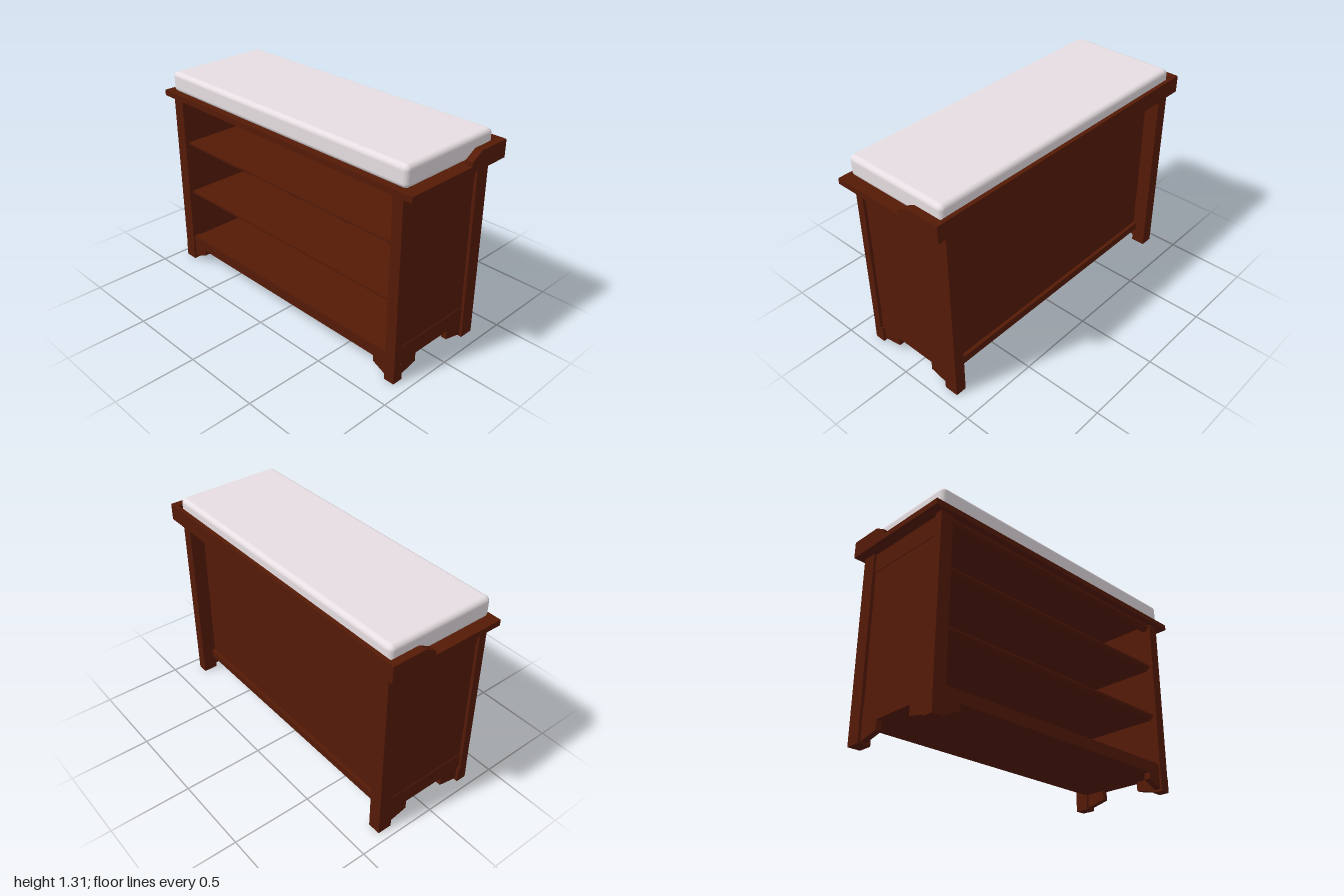
import * as THREE from 'three';
import { RoundedBoxGeometry } from 'three/addons/geometries/RoundedBoxGeometry.js';

export function createModel() {
  const model = new THREE.Group();
  model.name = 'changingTableDresser';
  const wood = new THREE.MeshStandardMaterial({ color: 0x551a06 });
  wood.name = 'dark red wood';
  const fabric = new THREE.MeshStandardMaterial({ color: 0xe6dee2 });
  fabric.name = 'pale grey fabric';

  const add = (name, geometry, material = wood) => {
    const mesh = new THREE.Mesh(geometry, material);
    mesh.name = name;
    model.add(mesh);
    return mesh;
  };
  // Box given by its limits on each axis
  const box = (name, x0, x1, y0, y1, z0, z1) =>
    add(name, new THREE.BoxGeometry(x1 - x0, y1 - y0, z1 - z0))
      .position.set((x0 + x1) / 2, (y0 + y1) / 2, (z0 + z1) / 2);
  const extrude = (points, depth) => new THREE.ExtrudeGeometry(
    new THREE.Shape(points.map(p => new THREE.Vector2(...p))), { depth, bevelEnabled: false });
  // Side outline in [z, y], carried from x0 to x1
  const profile = (name, points, x0, x1) =>
    add(name, extrude(points.map(([z, y]) => [-z, y]), x1 - x0).rotateY(Math.PI / 2))
      .position.x = x0;

  const UNDER = 1.145, TOP = 1.18, BASE = 0.1;
  const outer = { left: 0.925, right: -0.945 };
  const inner = { left: 0.857, right: -0.865 };

  for (const side of ['left', 'right']) {
    const s = side === 'left' ? 1 : -1;
    const xo = outer[side], xi = inner[side];
    const span = (name, a, b, ...rest) => box(name, Math.min(a, b), Math.max(a, b), ...rest);

    // Corner posts and front foot
    span(side + 'FrontPost', xi, xo, BASE, UNDER, 0.295, 0.345);
    span(side + 'FrontFoot', xi, xo, 0, BASE, 0.28, 0.347);
    span(side + 'BackPost', xi, xo, 0, UNDER, -0.342, -0.252);

    // Framed side panel
    span(side + 'SidePanel', xi, xo - s * 0.02, BASE, UNDER, -0.252, 0.295);
    span(side + 'SideTopRail', xi, xo - s * 0.016, 1.025, UNDER, -0.252, 0.295);
    span(side + 'SideBottomRail', xi, xo - s * 0.016, BASE, 0.205, -0.252, 0.295);

    // Front bracket beside the foot
    const tip = s * 0.76;
    add(side + 'FrontBracket', extrude([[tip, BASE], [tip, 0.06], [xi, 0.015], [xi, BASE]], 0.04))
      .position.z = 0.293;

    // Side brackets, set in a little from the posts
    for (const [name, root, end] of [['Front', 0.285, 0.15], ['Back', -0.255, -0.125]]) {
      const x = xo - s * 0.035;
      profile(side + name + 'SideBracket',
        [[root, BASE], [root, 0.012], [end, 0.042], [end, BASE]], x - 0.018, x + 0.018);
    }

    // Raised end of the top gallery with a sloped front
    profile(side + 'GalleryEnd',
      [[-0.09, TOP], [-0.372, TOP], [-0.372, 1.25], [-0.165, 1.25], [-0.09, 1.207]],
      s > 0 ? 0.955 : -1, s > 0 ? 1 : -0.955);
  }

  // Top board and back gallery rail
  box('topBoard', -1, 1, UNDER, TOP, -0.372, 0.372);
  box('galleryBack', -0.955, 0.955, TOP, 1.25, -0.372, -0.347);

  // Recessed back panel with a rail along its foot
  const l = inner.left, r = inner.right;
  box('backPanel', r, l, BASE, UNDER, -0.25, -0.22);
  box('backBottomRail', r, l, BASE, 0.15, -0.272, -0.25);

  // Open shelves with the front edge cut back underneath
  for (const y of [0.505, 0.85]) {
    profile('shelf', [[-0.22, y], [0.32, y], [0.32, y - 0.015], [0.295, y - 0.035], [-0.22, y - 0.035]], r, l);
  }

  // Base and front rails
  box('bottomShelf', r, l, BASE, 0.165, -0.22, 0.3);
  box('frontBottomRail', r, l, BASE, 0.172, 0.3, 0.335);
  profile('frontTopRail', [[0.29, UNDER], [0.33, UNDER], [0.33, 1.125], [0.31, 1.105], [0.29, 1.105]], r, l);

  // Soft pad on the top
  add('cushion', new RoundedBoxGeometry(1.885, 0.127, 0.685, 5, 0.03), fabric)
    .position.set(-0.002, 1.2435, 0.004);

  return model;
}
